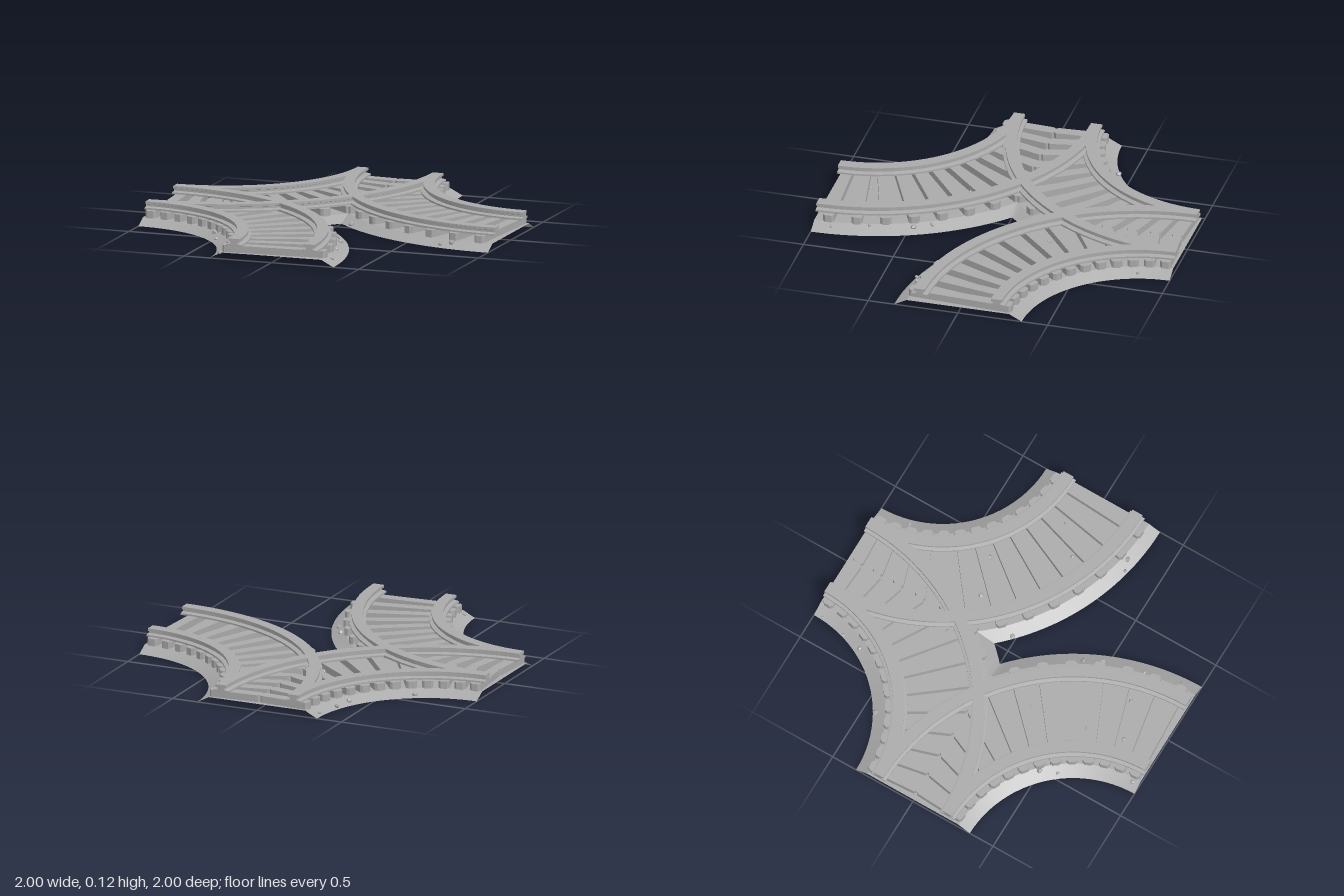
import * as THREE from 'three';
import { toCreasedNormals } from 'three/addons/utils/BufferGeometryUtils.js';

const BED_Y = 0.036, EDGE = 0.355, CROWN = 0.285, TIES = 13, Q = Math.PI / 2;
// three quarter-circle tracks: centre, turn, and the ends shared with a neighbour
const TRACKS = [
  { name: 'rightTrack', x: 1, z: -1, turn: -Q, seamStart: true, seamEnd: false },
  { name: 'middleTrack', x: -1, z: -1, turn: 0, seamStart: true, seamEnd: true },
  { name: 'frontTrack', x: -1, z: 1, turn: Q, seamStart: false, seamEnd: true },
];

// outline of the whole bed for half-width w, as [x, z] points
function bedOutline(w) {
  const pts = [];
  const arc = (cx, cz, r, a, b, n = 24) => {
    for (let i = 0; i <= n; i++) {
      const t = a + (b - a) * i / n;
      pts.push([cx + r * Math.cos(t), cz + r * Math.sin(t)]);
    }
  };
  const inner = 1 - w, outer = 1 + w, t = Math.acos(1 / outer);
  arc(-1, -1, inner, Q, 0);
  arc(1, -1, inner, 2 * Q, Q);
  arc(1, -1, outer, Q, 2 * Q - t);
  arc(-1, -1, outer, t, Q - t, 4);
  arc(-1, 1, outer, -Q + t, 0);
  arc(-1, 1, inner, 0, -Q);
  return pts;
}

// sloping shoulder between the ground edge and the crown; track ends stay open
function shoulderGeometry() {
  const low = bedOutline(EDGE), high = bedOutline(CROWN), pos = [], index = [];
  low.forEach((p, i) => pos.push(p[0], 0, p[1], high[i][0], BED_Y, high[i][1]));
  for (let i = 0; i < low.length; i++) {
    const j = (i + 1) % low.length;
    const isEnd = [0, 1].some(k => Math.abs(Math.abs(low[i][k]) - 1) < 1e-6
      && Math.abs(low[i][k] - low[j][k]) < 1e-6);
    if (!isEnd) index.push(2 * i, 2 * i + 1, 2 * j, 2 * j, 2 * i + 1, 2 * j + 1);
  }
  const g = new THREE.BufferGeometry();
  g.setAttribute('position', new THREE.Float32BufferAttribute(pos, 3));
  g.setIndex(index);
  return toCreasedNormals(g, 0.5);
}

// rail section: foot, web and head
function railProfile(r) {
  const half = [[0.045, 0.073], [0.045, 0.083], [0.018, 0.087], [0.018, 0.097], [0.031, 0.101], [0.031, 0.115]];
  const all = [...half, ...half.map(([x, y]) => [-x, y]).reverse()];
  return all.map(([x, y]) => new THREE.Vector2(r + x, y));
}

// tie with chamfered corners, mitred where it meets a neighbouring track
function tieGeometry(phi, track) {
  const hw = 0.03, c = 0.012, r0 = 0.71;
  const end = v => Math.min(1.29,
    track.seamStart ? (1 + v * Math.sin(phi)) / Math.cos(phi) : 9,
    track.seamEnd ? (1 - v * Math.cos(phi)) / Math.sin(phi) : 9);
  const shape = new THREE.Shape([
    [r0, -hw + c], [r0 + c, -hw], [end(-hw) - c, -hw], [end(-hw + c), -hw + c],
    [end(hw - c), hw - c], [end(hw) - c, hw], [r0 + c, hw], [r0, hw - c],
  ].map(p => new THREE.Vector2(...p)));
  const g = new THREE.ExtrudeGeometry(shape, { depth: 0.043, bevelEnabled: false });
  return g.rotateX(-Q).translate(0, 0.031, 0);
}

export function createModel() {
  const model = new THREE.Group();
  model.name = 'trackJunction';
  const grey = new THREE.MeshStandardMaterial({ color: 0xaaaaaa, side: THREE.DoubleSide });
  grey.name = 'grey';
  const add = (parent, name, geometry) => {
    const mesh = new THREE.Mesh(geometry, grey);
    mesh.name = name;
    parent.add(mesh);
    return mesh;
  };

  // ballast bed
  const crown = new THREE.Shape(bedOutline(CROWN).map(([x, z]) => new THREE.Vector2(x, -z)));
  add(model, 'bedTop', new THREE.ShapeGeometry(crown).rotateX(-Q).translate(0, BED_Y, 0));
  add(model, 'bedShoulder', shoulderGeometry());

  // rails and ties
  for (const track of TRACKS) {
    const group = new THREE.Group();
    group.name = track.name;
    group.position.set(track.x, 0, track.z);
    group.rotation.y = track.turn;
    model.add(group);
    for (const r of [0.785, 1.215]) {
      const profile = railProfile(r);
      const lathe = new THREE.LatheGeometry([...profile, profile[0]], 28, 0, Q);
      add(group, 'rail', toCreasedNormals(lathe, 0.3));
      for (const turn of [-Q, 0])
        add(group, 'railEnd', new THREE.ShapeGeometry(new THREE.Shape(profile))).rotation.y = turn;
    }
    for (let i = 0; i < TIES; i++) {
      const phi = (i + 0.5) / TIES * Q;
      add(group, 'tie', tieGeometry(phi, track)).rotation.y = phi - Q;
    }
  }

  // loose stones lying on the bed
  const stones = [
    [-0.35, -0.95], [-0.38, -0.8], [-0.4, -0.69], [-0.67, -0.43], [0.35, -0.82], [-0.08, -0.33], [0.4, -0.35],
    [0.19, -0.28], [0.77, -0.1], [0.63, 0.03], [0.08, -0.02], [0.77, 0.29], [0.71, 0.31], [-0.54, 0.27],
    [-0.23, 0.27], [-0.51, 0.5], [-0.47, 0.59], [-0.01, 0.39], [0.15, 0.38], [0.2, 0.47], [0.26, 0.7],
    [0.08, 0.72], [-0.13, 0.8], [-0.17, 0.6], [0.31, 0.9], [-0.31, 0.96], [0.16, 0.95],
  ];
  stones.forEach(([x, z], i) => {
    const off = Math.min(...TRACKS.map(t => Math.abs(Math.hypot(x - t.x, z - t.z) - 1)));
    const y = BED_Y * Math.min(1, (EDGE - off) / (EDGE - CROWN));
    const stone = add(model, 'stone', new THREE.DodecahedronGeometry(0.011 + 0.002 * (i % 4)));
    stone.position.set(x, Math.max(y, 0.015) + 0.003, z);
    stone.rotation.set(i, i * 2, 0);
    stone.scale.y = 0.75;
  });
  return model;
}
